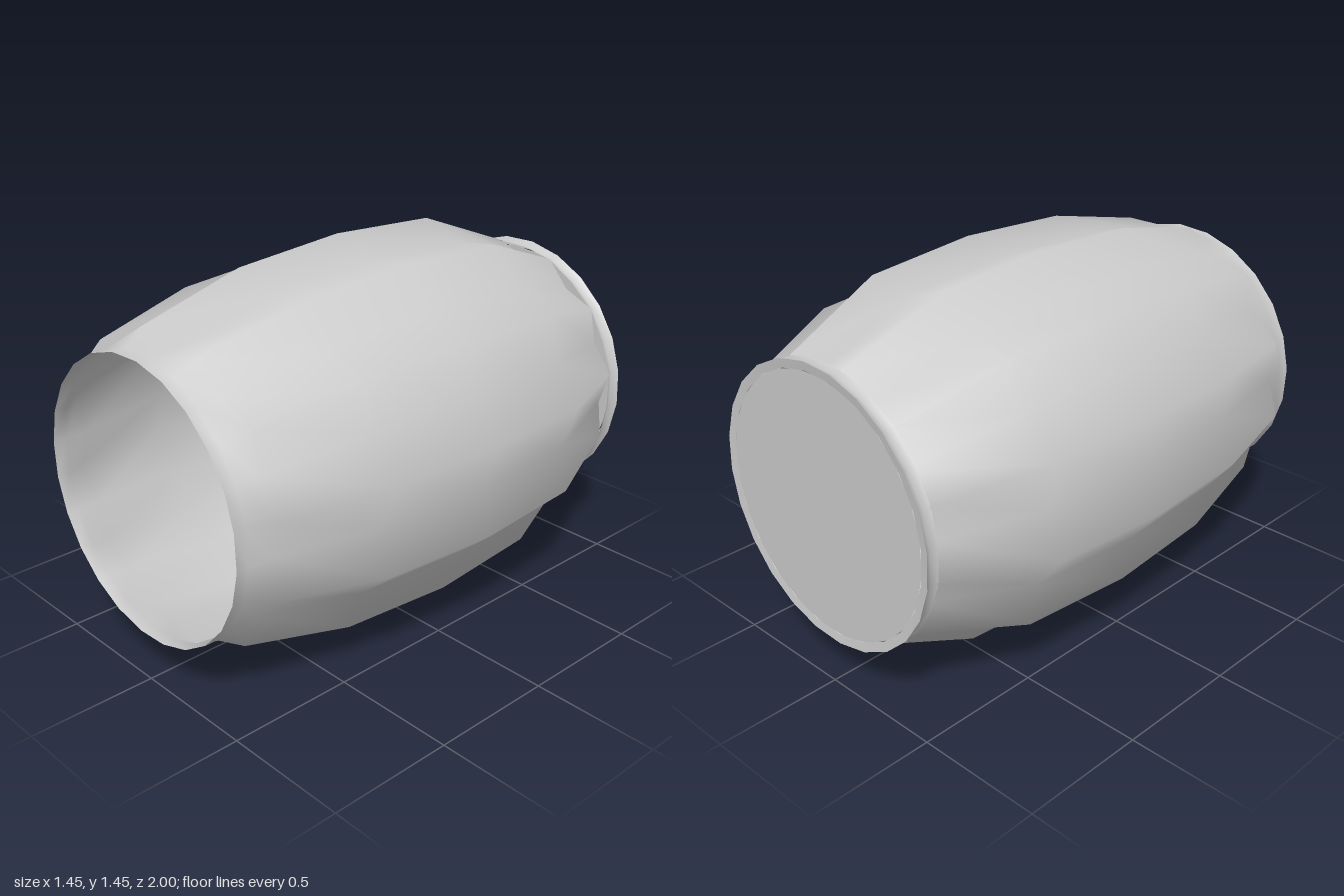
import * as THREE from 'three';

const LOBES = 12;
const SEGMENTS = LOBES * 2;
const FIRST_TIP = THREE.MathUtils.degToRad(10);

// Skin through 24-sided loops along z; each ring is [z, tip radius, valley radius]
function loftRings(rings) {
  const positions = [];
  const indices = [];
  rings.forEach(([z, tip, valley], row) => {
    for (let i = 0; i < SEGMENTS; i++) {
      const angle = FIRST_TIP + (i / SEGMENTS) * Math.PI * 2;
      const radius = i % 2 === 0 ? tip : valley;
      positions.push(Math.cos(angle) * radius, Math.sin(angle) * radius, z);
      if (row === 0) continue;
      const next = (i + 1) % SEGMENTS;
      const a = (row - 1) * SEGMENTS + i;
      const b = (row - 1) * SEGMENTS + next;
      const c = row * SEGMENTS + i;
      const d = row * SEGMENTS + next;
      indices.push(a, c, b, b, c, d);
    }
  });
  const geometry = new THREE.BufferGeometry();
  geometry.setAttribute('position', new THREE.Float32BufferAttribute(positions, 3));
  geometry.setIndex(indices);
  geometry.computeVertexNormals();
  return geometry;
}

export function createModel() {
  const group = new THREE.Group();
  group.name = 'flutedBarrel';
  const material = new THREE.MeshStandardMaterial({ color: 0xcccccc, side: THREE.DoubleSide });

  const add = (name, geometry) => {
    const mesh = new THREE.Mesh(geometry, material);
    mesh.name = name;
    mesh.position.y = 0.728;
    group.add(mesh);
    return mesh;
  };

  // Fluted, bulging wall, open and round at the front
  add('barrelWall', loftRings([
    [1, 0.54, 0.54],
    [0.95, 0.54, 0.535],
    [0.86, 0.6, 0.545],
    [0.43, 0.705, 0.635],
    [-0.05, 0.735, 0.66],
    [-0.53, 0.705, 0.635],
    [-0.95, 0.535, 0.485],
  ]));

  // Round rim at the closed end, with a shallow waist
  add('backRim', loftRings([
    [-0.945, 0.535, 0.53],
    [-0.972, 0.525, 0.52],
    [-1, 0.54, 0.54],
  ]));

  // Flat lip and bevel around the end plate
  add('backLip', loftRings([
    [-1, 0.54, 0.54],
    [-0.995, 0.505, 0.505],
  ]));

  // Closed end
  const plate = add('backPlate', new THREE.CircleGeometry(0.505, SEGMENTS));
  plate.rotation.set(0, Math.PI, FIRST_TIP);
  plate.position.z = -0.995;

  return group;
}
